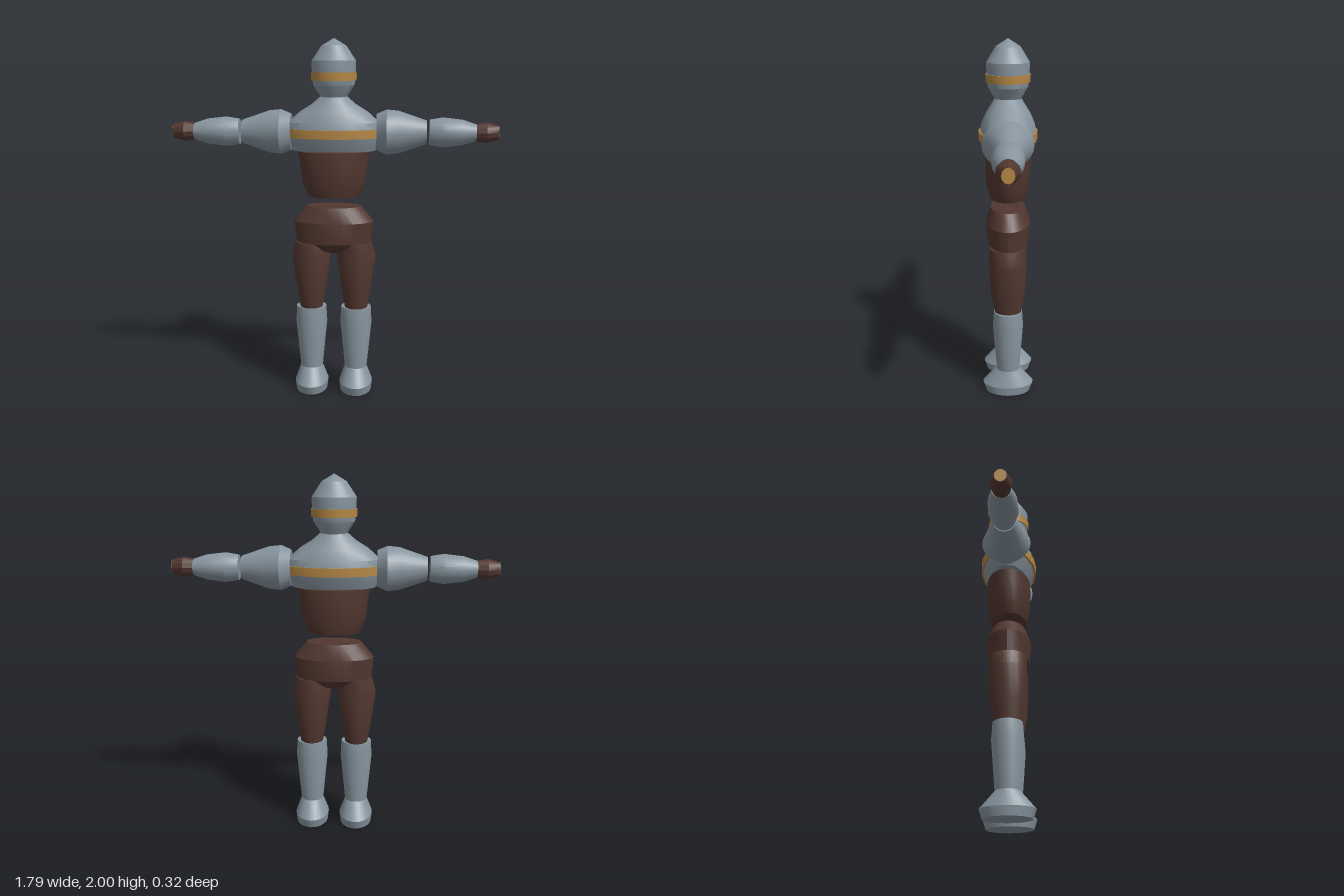
import * as THREE from 'three';
import { toCreasedNormals } from 'three/addons/utils/BufferGeometryUtils.js';

const material = (name, color) => {
  const m = new THREE.MeshStandardMaterial({ color });
  m.name = name;
  return m;
};

// Closed loft through elliptical rings [height, half width, half depth], bottom to top
function loft(rings, sides = 24, capped = true) {
  const list = rings.map(([y, rx, rz = rx]) => [y, rx, rz]);
  if (capped) {
    list.unshift([list[0][0], 0, 0]);
    list.push([list[list.length - 1][0], 0, 0]);
  }
  const geo = new THREE.LatheGeometry(list.map(([y, rx]) => new THREE.Vector2(rx, y)), sides);
  const pos = geo.attributes.position;
  for (let i = 0; i < pos.count; i++) {
    const [, rx, rz] = list[i % list.length];
    if (rx > 0) pos.setZ(i, pos.getZ(i) * rz / rx);
  }
  return toCreasedNormals(geo, 0.45);
}

export function createModel() {
  const steel = material('steel', 0x87949e);
  const leather = material('leather', 0x523730);
  const gold = material('gold', 0xb48743);
  const model = new THREE.Group();
  model.name = 'armouredFigure';

  const add = (name, geo, mat, parent = model) => {
    const mesh = new THREE.Mesh(geo, mat);
    mesh.name = name;
    parent.add(mesh);
    return mesh;
  };

  // Helmet with its gold brow band
  add('helmet', loft([
    [1.68, 0.07], [1.7, 0.08], [1.75, 0.113, 0.108], [1.81, 0.12, 0.115],
    [1.88, 0.121, 0.115], [1.96, 0.068, 0.065], [2.0, 0.001],
  ]), steel);
  add('helmetBand', loft([
    [1.775, 0.117, 0.112], [1.775, 0.124, 0.119], [1.818, 0.126, 0.121], [1.818, 0.118, 0.113],
  ], 24, false), gold);

  // Breastplate with its gold band
  add('breastplate', loft([
    [1.395, 0.23, 0.118], [1.44, 0.25, 0.138], [1.49, 0.265, 0.155], [1.55, 0.252, 0.146],
    [1.61, 0.185, 0.12], [1.65, 0.12, 0.095], [1.695, 0.068, 0.068],
  ], 16), steel);
  add('breastplateBand', loft([
    [1.468, 0.255, 0.145], [1.468, 0.268, 0.16], [1.515, 0.268, 0.161], [1.515, 0.255, 0.145],
  ], 16, false), gold);

  // Abdomen and hips
  add('abdomen', loft([
    [1.14, 0.142, 0.1], [1.21, 0.174, 0.12], [1.32, 0.188, 0.125], [1.39, 0.2, 0.125],
  ]), leather);
  add('hips', loft([
    [0.825, 0.06, 0.06], [0.84, 0.11, 0.085], [0.88, 0.21, 0.115],
    [1.0, 0.224, 0.126], [1.085, 0.155, 0.097],
  ]), leather);

  for (const side of [1, -1]) {
    const prefix = side > 0 ? 'left' : 'right';

    // Leg, stacked from the ground up
    const leg = new THREE.Group();
    leg.name = prefix + 'Leg';
    leg.position.x = side * 0.128;
    add(prefix + 'Boot', loft([
      [0, 0.09, 0.128], [0.05, 0.096, 0.145], [0.14, 0.064, 0.066],
    ]), steel, leg);
    add(prefix + 'Greave', loft([
      [0.14, 0.064, 0.066], [0.41, 0.09, 0.086], [0.5, 0.085, 0.08],
    ]), steel, leg);
    add(prefix + 'Thigh', loft([
      [0.5, 0.065, 0.076], [0.62, 0.085, 0.097], [0.8, 0.11, 0.105], [0.88, 0.086, 0.102],
    ]), leather, leg);
    model.add(leg);

    // Arm, lofted upward then laid out sideways
    const arm = new THREE.Group();
    arm.name = prefix + 'Arm';
    arm.position.y = 1.497;
    arm.rotation.z = -side * Math.PI / 2;
    add(prefix + 'UpperArm', loft([
      [0.235, 0.1, 0.085], [0.29, 0.123, 0.135], [0.355, 0.117, 0.113], [0.507, 0.065, 0.06],
    ]), steel, arm);
    add(prefix + 'Forearm', loft([
      [0.523, 0.07, 0.06], [0.595, 0.082, 0.082], [0.7, 0.07, 0.075], [0.775, 0.046, 0.052],
    ]), steel, arm);
    add(prefix + 'Hand', loft([
      [0.77, 0.046, 0.045], [0.83, 0.056, 0.058], [0.895, 0.039, 0.033],
    ], 12), leather, arm);
    add(prefix + 'HandTip', loft([
      [0.894, 0.037, 0.031], [0.897, 0.037, 0.031],
    ], 12), gold, arm);
    model.add(arm);
  }
  return model;
}
